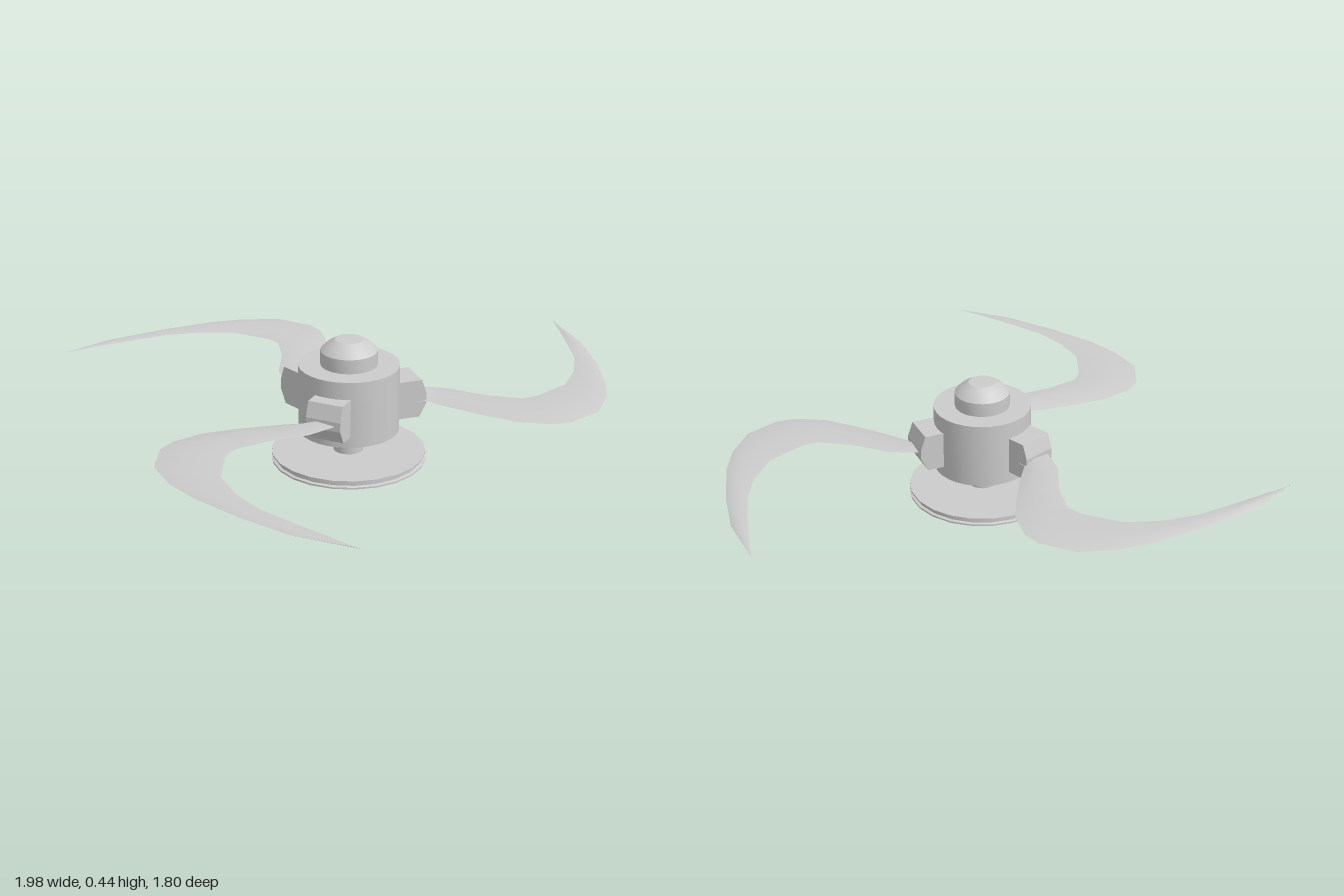
import * as THREE from 'three';
import { toCreasedNormals } from 'three/addons/utils/BufferGeometryUtils.js';

const material = new THREE.MeshStandardMaterial({ color: 0xcccccc });

function part(name, geometry, crease = 0.6) {
  const mesh = new THREE.Mesh(toCreasedNormals(geometry, crease), material);
  mesh.name = name;
  return mesh;
}

function lathe(name, profile, sides) {
  const points = profile.map(([r, y]) => new THREE.Vector2(r, y));
  return part(name, new THREE.LatheGeometry(points, sides), 0.4);
}

// Curved blade: each station is [inner x, inner z, outer x, outer z]
const stations = [
  [-0.04, 0.0, 0.06, 0.02],
  [-0.037, -0.043, 0.07, -0.016],
  [0.032, -0.128, 0.15, -0.05],
  [0.155, -0.209, 0.27, -0.11],
  [0.241, -0.294, 0.38, -0.176],
  [0.249, -0.325, 0.455, -0.262],
  [0.251, -0.358, 0.476, -0.326],
  [0.225, -0.497, 0.455, -0.46],
  [0.144, -0.604, 0.369, -0.567],
  [0.048, -0.684, 0.273, -0.642],
  [-0.075, -0.749, 0.1, -0.738],
  [-0.19, -0.806, -0.075, -0.813],
  [-0.294, -0.857, -0.292, -0.854],
];

function bladeGeometry() {
  // Cross-section: [position from inner to outer edge, height]
  const section = [[0, 0.002], [0.6, 0.008], [1, -0.006], [0.55, -0.007]];
  const n = section.length;
  const positions = [];
  const indices = [];
  stations.forEach(([ix, iz, ox, oz], i) => {
    const thick = i === stations.length - 1 ? 0.1 : 1.3 - 0.06 * i;
    for (const [t, y] of section) {
      positions.push(ix + (ox - ix) * t, y * thick, iz + (oz - iz) * t);
    }
    if (i === 0) return;
    for (let j = 0; j < n; j++) {
      const a = (i - 1) * n + j;
      const b = (i - 1) * n + ((j + 1) % n);
      indices.push(a, b, a + n, b, b + n, a + n);
    }
  });
  const last = (stations.length - 1) * n;
  indices.push(0, 2, 1, 0, 3, 2, last, last + 1, last + 2, last, last + 2, last + 3);
  const geometry = new THREE.BufferGeometry();
  geometry.setAttribute('position', new THREE.Float32BufferAttribute(positions, 3));
  geometry.setIndex(indices);
  return geometry;
}

// Bevelled block that clamps the blade root to the hub
function mountGeometry() {
  const width = 0.125;
  const shape = new THREE.Shape([
    [-0.09, -0.064], [0.012, -0.064], [0.038, -0.015], [0.038, 0.018],
    [0.02, 0.07], [-0.09, 0.07],
  ].map(([x, y]) => new THREE.Vector2(x, y)));
  return new THREE.ExtrudeGeometry(shape, { depth: width, bevelEnabled: false })
    .translate(0, 0, -width / 2)
    .rotateY(Math.PI / 2);
}

export function createModel() {
  const model = new THREE.Group();
  model.name = 'rotor';

  // Turned parts on the central axis
  const core = new THREE.Group();
  core.name = 'core';
  core.position.set(-0.08, 0, 0.175);
  core.add(
    lathe('baseDisc', [[0, 0], [0.265, 0], [0.265, 0.006], [0.255, 0.009],
      [0.255, 0.021], [0.265, 0.024], [0.265, 0.03], [0, 0.03]], 22),
    lathe('shaft', [[0.052, 0.02], [0.052, 0.11]], 20),
    lathe('hub', [[0, 0.09], [0.06, 0.09], [0.173, 0.11], [0.173, 0.345], [0, 0.345]], 32),
    lathe('cap', [[0.098, 0.34], [0.098, 0.395], [0.075, 0.418], [0.048, 0.434], [0, 0.435]], 20),
  );
  model.add(core);

  // Three blades, each turned about its own mount: [x, z, degrees]
  const blade = bladeGeometry();
  const mount = mountGeometry();
  [[-0.061, -0.043, 0], [0.088, 0.31, -111.4], [-0.272, 0.23, 113.9]].forEach(([x, z, deg], i) => {
    const arm = new THREE.Group();
    arm.name = `bladeArm${i + 1}`;
    arm.position.set(x, 0.214, z);
    arm.rotation.y = THREE.MathUtils.degToRad(deg);
    const block = part('bladeMount', mount, 0.3);
    block.rotation.y = -0.21;
    arm.add(block, part('blade', blade, 0.8));
    model.add(arm);
  });

  return model;
}
